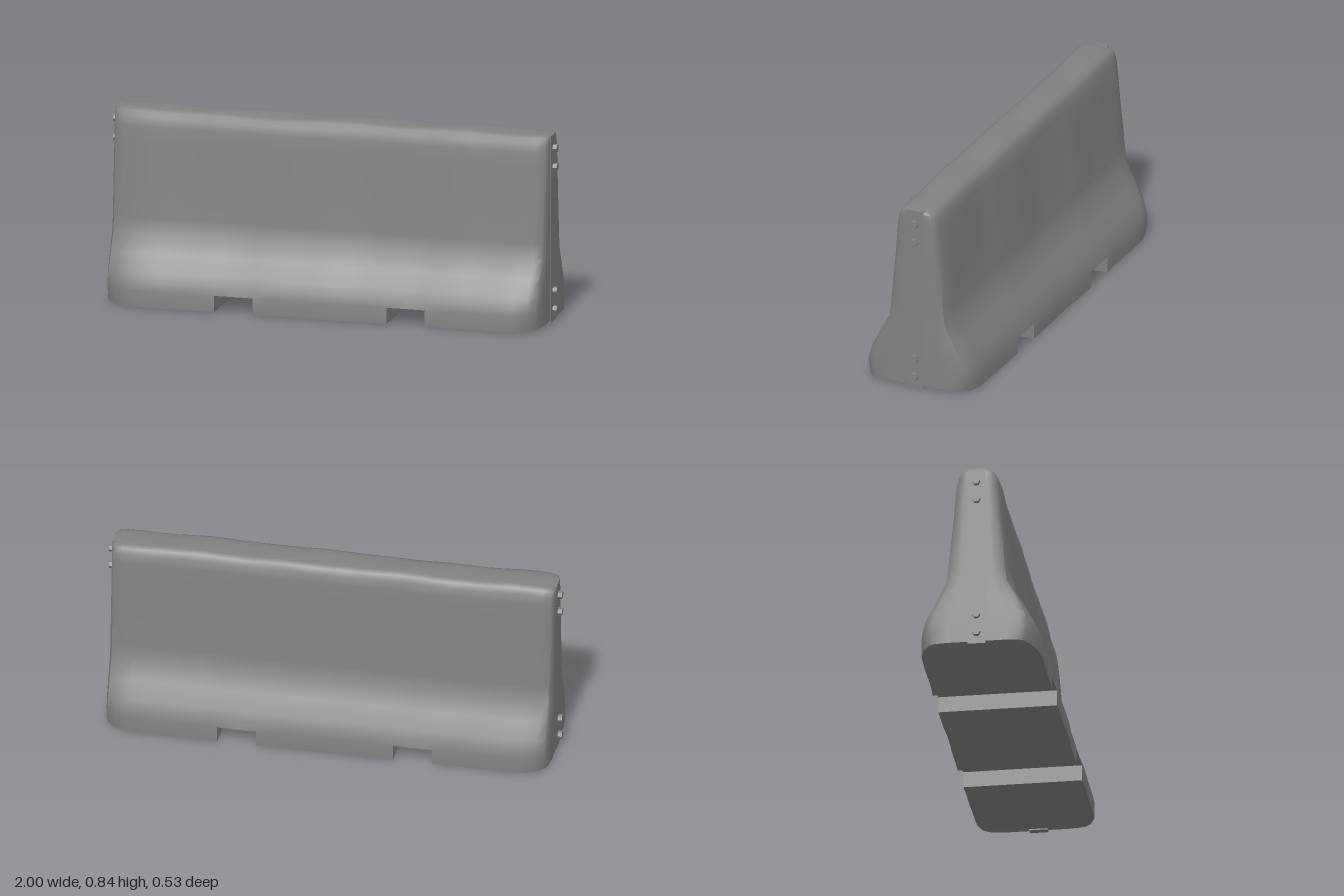
import * as THREE from 'three';
import { toCreasedNormals } from 'three/addons/utils/BufferGeometryUtils.js';

// Half cross-section [z, y], from the foot up to the crown
const HALF = [
  [0.26, 0], [0.26, 0.072], [0.25, 0.11], [0.233, 0.15], [0.19, 0.225], [0.146, 0.302],
  [0.137, 0.37], [0.124, 0.5], [0.113, 0.6], [0.104, 0.7], [0.097, 0.765], [0.09, 0.805],
  [0.077, 0.828], [0.055, 0.837], [0.025, 0.838],
];
const N = HALF.length;
const NOTCH = [0.302, 0.474]; // fork slots, mirrored in x

// Worn end stations: [x, width scale, foot corner cut, foot lift, crown drop]
const ENDS = [
  [0.87, 0.995, 0.01, 0, 0], [0.93, 0.965, 0.06, 0.002, 0.001], [0.965, 0.9, 0.1, 0.008, 0.005],
  [0.975, 0.77, 0.07, 0.01, 0.008], [0.98, 0.5, 0, 0.01, 0.012],
];

function makeStations() {
  const half = [];
  const add = (x, notch = false, s = 1, cut = 0, lift = 0, drop = 0) => half.push({ x, notch, s, cut, lift, drop });
  for (const x of [0.05, 0.13, 0.22]) add(x);
  add(NOTCH[0]); add(NOTCH[0], true);
  add(0.39, true);
  add(NOTCH[1], true); add(NOTCH[1]);
  for (const x of [0.56, 0.64, 0.72, 0.8]) add(x);
  for (const [x, s, cut, lift, drop] of ENDS) add(x, false, s, cut, lift, drop);
  return [...half.map(h => ({ ...h, x: -h.x })).reverse(), ...half];
}

// Closed ring of points for one station, with gentle wear
function makeRing({ x, notch, s, cut, lift, drop }) {
  const ring = [];
  for (let j = 0; j < 2 * N; j++) {
    const front = j < N, k = front ? j : 2 * N - 1 - j, side = front ? 1 : -1;
    let [z, y] = HALF[k];
    const up = y / 0.84;
    const foot = Math.max(0, 1 - y / 0.3) ** 3;
    z = z * (s - cut * foot) + 0.0025 * Math.sin(x * 9 + side * 1.7 + up * 2) + 0.0015 * Math.sin(x * 23 + side);
    if (k > 10) {
      y += 0.003 * Math.sin(x * 13 + side * 0.6) - drop;
      // chipped front crown edge
      if (front && k < 14) y -= 0.008 * Math.exp(-(((x + 0.35) / 0.14) ** 2));
    }
    if (k === 0) y = notch ? HALF[1][1] : lift;
    ring.push(new THREE.Vector3(x, y, z * side));
  }
  return ring;
}

function barrierGeometry() {
  const rings = makeStations().map(makeRing);
  const pos = [];
  const tri = (a, b, c) => {
    const area = b.clone().sub(a).cross(c.clone().sub(a)).length();
    if (area > 1e-8) for (const p of [a, b, c]) pos.push(p.x, p.y, p.z);
  };
  const quad = (a, b, c, d) => { tri(a, b, c); tri(a, c, d); };
  // Skin, whose foot strip also forms the slot walls
  for (let i = 0; i < rings.length - 1; i++) {
    const A = rings[i], B = rings[i + 1];
    for (let j = 0; j < 2 * N; j++) {
      const n = (j + 1) % (2 * N);
      quad(A[j], B[j], B[n], A[n]);
    }
  }
  // End faces
  const L = rings[0], R = rings[rings.length - 1];
  for (let k = 0; k < N - 1; k++) {
    const m = 2 * N - 1 - k;
    quad(R[m], R[m - 1], R[k + 1], R[k]);
    quad(L[k], L[k + 1], L[m - 1], L[m]);
  }
  const g = new THREE.BufferGeometry();
  g.setAttribute('position', new THREE.Float32BufferAttribute(pos, 3));
  return toCreasedNormals(g, 0.8);
}

export function createModel() {
  const group = new THREE.Group();
  const material = new THREE.MeshStandardMaterial({ color: 0x808080 });
  const add = (geometry, name, x, y) => {
    const mesh = new THREE.Mesh(geometry, material);
    mesh.name = name;
    mesh.position.set(x, y, 0);
    group.add(mesh);
    return mesh;
  };

  add(barrierGeometry(), 'barrierBody', 0, 0);

  // Nearly flush end plates with pairs of hexagonal bolts
  const plate = new THREE.BoxGeometry(0.03, 0.832, 0.08);
  const bolt = toCreasedNormals(new THREE.CylinderGeometry(0.018, 0.018, 0.03, 6), 0.5);
  for (const side of [1, -1]) {
    const end = side > 0 ? 'left' : 'right';
    add(plate, end + 'EndPlate', side * 0.966, 0.416);
    for (const y of [0.051, 0.135, 0.686, 0.771]) {
      add(bolt, end + 'Bolt', side * 0.985, y).rotation.z = -side * Math.PI / 2;
    }
  }
  return group;
}
